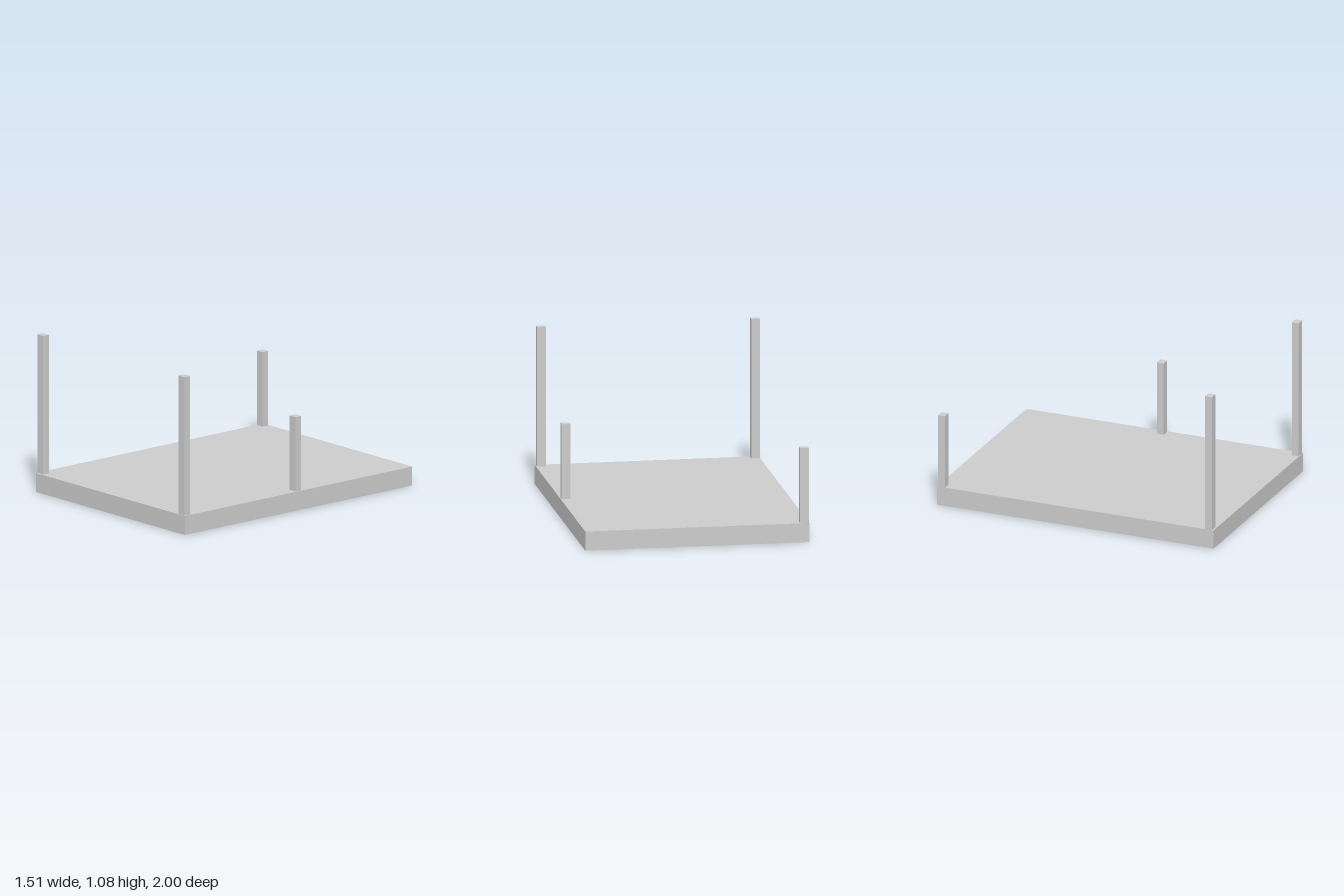
import * as THREE from 'three';

const WIDTH = 1.51, DEPTH = 2, THICKNESS = 0.13;
const POST_WIDTH = 0.06, POST_DEPTH = 0.049;

export function createModel() {
  const model = new THREE.Group();
  model.name = 'platformWithPosts';
  const material = new THREE.MeshStandardMaterial({ color: 0xcccccc, flatShading: true });

  // Box standing on the height y
  function addBox(name, w, h, d, x, y, z) {
    const mesh = new THREE.Mesh(new THREE.BoxGeometry(w, h, d), material);
    mesh.name = name;
    mesh.position.set(x, y + h / 2, z);
    model.add(mesh);
  }

  // Base slab
  addBox('baseSlab', WIDTH, THICKNESS, DEPTH, 0, 0, 0);

  // Upright posts: two tall at the front, two short behind
  const posts = [
    ['frontRightPost', -0.725, 0.963, 1.08],
    ['frontLeftPost', 0.718, 0.971, 1.08],
    ['middleLeftPost', 0.718, -0.004, 0.64],
    ['backRightPost', -0.724, -0.967, 0.64],
  ];
  for (const [name, x, z, top] of posts) {
    addBox(name, POST_WIDTH, top - THICKNESS, POST_DEPTH, x, THICKNESS, z);
  }
  return model;
}
